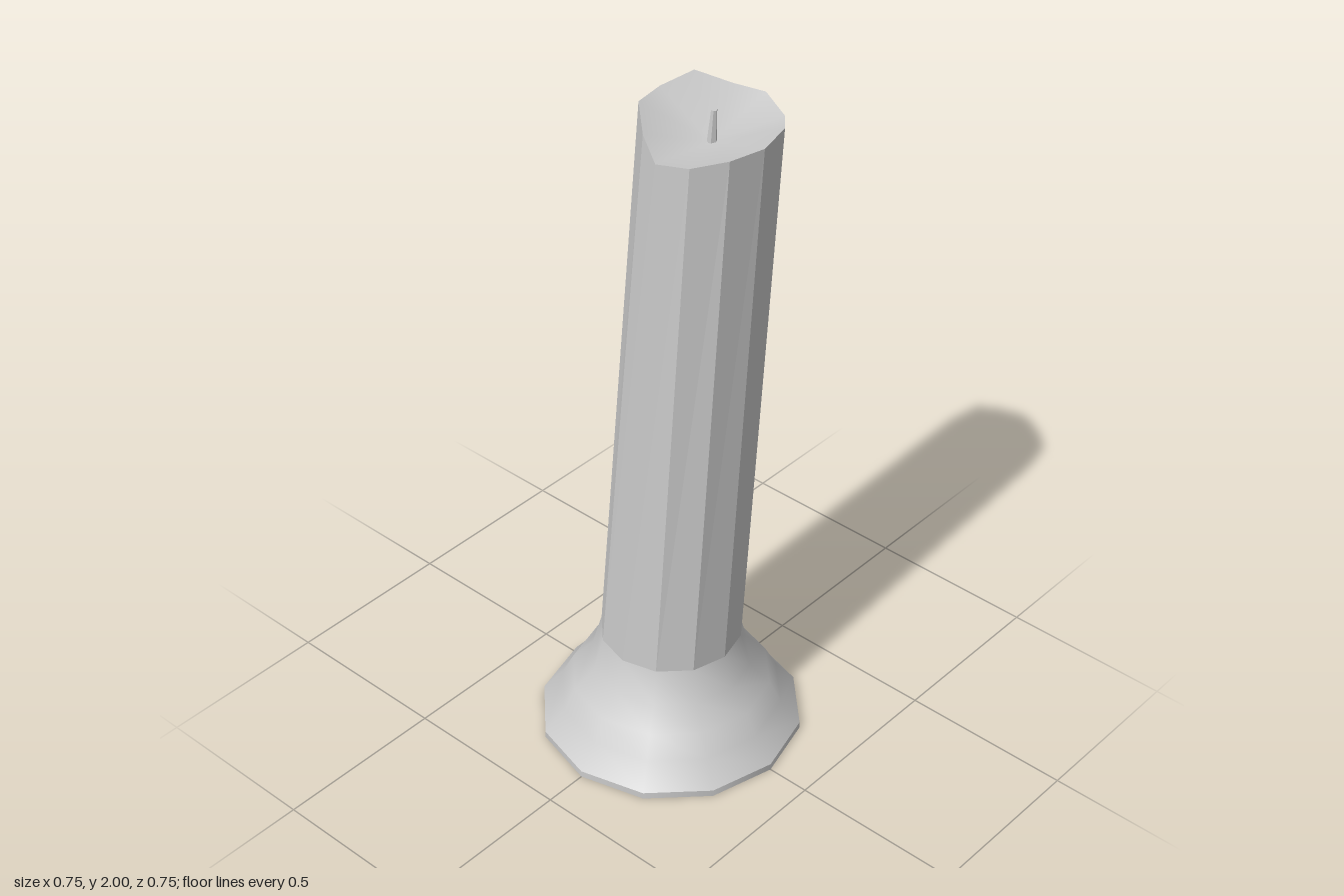
import * as THREE from 'three';

const SIDES = 12;
const material = new THREE.MeshStandardMaterial({ color: 0xcccccc, side: THREE.DoubleSide });
const flatMaterial = new THREE.MeshStandardMaterial({ color: 0xcccccc, side: THREE.DoubleSide, flatShading: true });

// Uneven heights of the melted rim, starting at the front and going towards +x
const RIM_HEIGHTS = [1.94, 1.945, 1.925, 1.95, 1.955, 2.0, 1.988, 1.995, 1.965, 1.92, 1.928, 1.94];
const TOP = { x: 0.037, z: 0.1, rx: 0.205, rz: 0.17 };

function ring(cx, cz, rx, rz, height) {
  return Array.from({ length: SIDES }, (_, i) => {
    const a = (i / SIDES) * Math.PI * 2;
    return [cx + rx * Math.sin(a), height(i), cz + rz * Math.cos(a)];
  });
}

function indexed(points, index) {
  const g = new THREE.BufferGeometry();
  g.setAttribute('position', new THREE.Float32BufferAttribute(points.flat(), 3));
  g.setIndex(index);
  g.computeVertexNormals();
  return g;
}

function lathe(profile) {
  return new THREE.LatheGeometry(profile.map(([r, y]) => new THREE.Vector2(r, y)), SIDES);
}

export function createModel() {
  const group = new THREE.Group();
  const add = (name, geometry, mat = material) => {
    const mesh = new THREE.Mesh(geometry, mat);
    mesh.name = name;
    group.add(mesh);
    return mesh;
  };

  // Hollow flared foot with a thin upright edge
  add('footEdge', lathe([[0.375, 0], [0.375, 0.02]]));
  add('foot', lathe([[0.375, 0.02], [0.318, 0.09], [0.285, 0.155], [0.228, 0.215], [0.2, 0.315]]));

  // Leaning faceted shaft
  const bottom = ring(0, 0, 0.2, 0.2, () => 0.315);
  const rim = ring(TOP.x, TOP.z, TOP.rx, TOP.rz, (i) => RIM_HEIGHTS[i]);
  rim[8][2] += 0.02;
  const sides = [];
  const fan = [];
  for (let i = 0; i < SIDES; i++) {
    const j = (i + 1) % SIDES;
    sides.push(i, j, SIDES + j, i, SIDES + j, SIDES + i);
    fan.push(i, j, SIDES);
  }
  add('shaft', indexed([...bottom, ...rim], sides), flatMaterial);

  // Sunken top surface
  add('meltedTop', indexed([...rim, [TOP.x, 1.895, TOP.z]], fan));

  // Small tapered wick
  const wick = add('wick', new THREE.CylinderGeometry(0.008, 0.014, 0.1, 6), flatMaterial);
  wick.position.set(TOP.x, 1.937, TOP.z + 0.004);
  wick.rotation.x = 0.07;

  return group;
}
